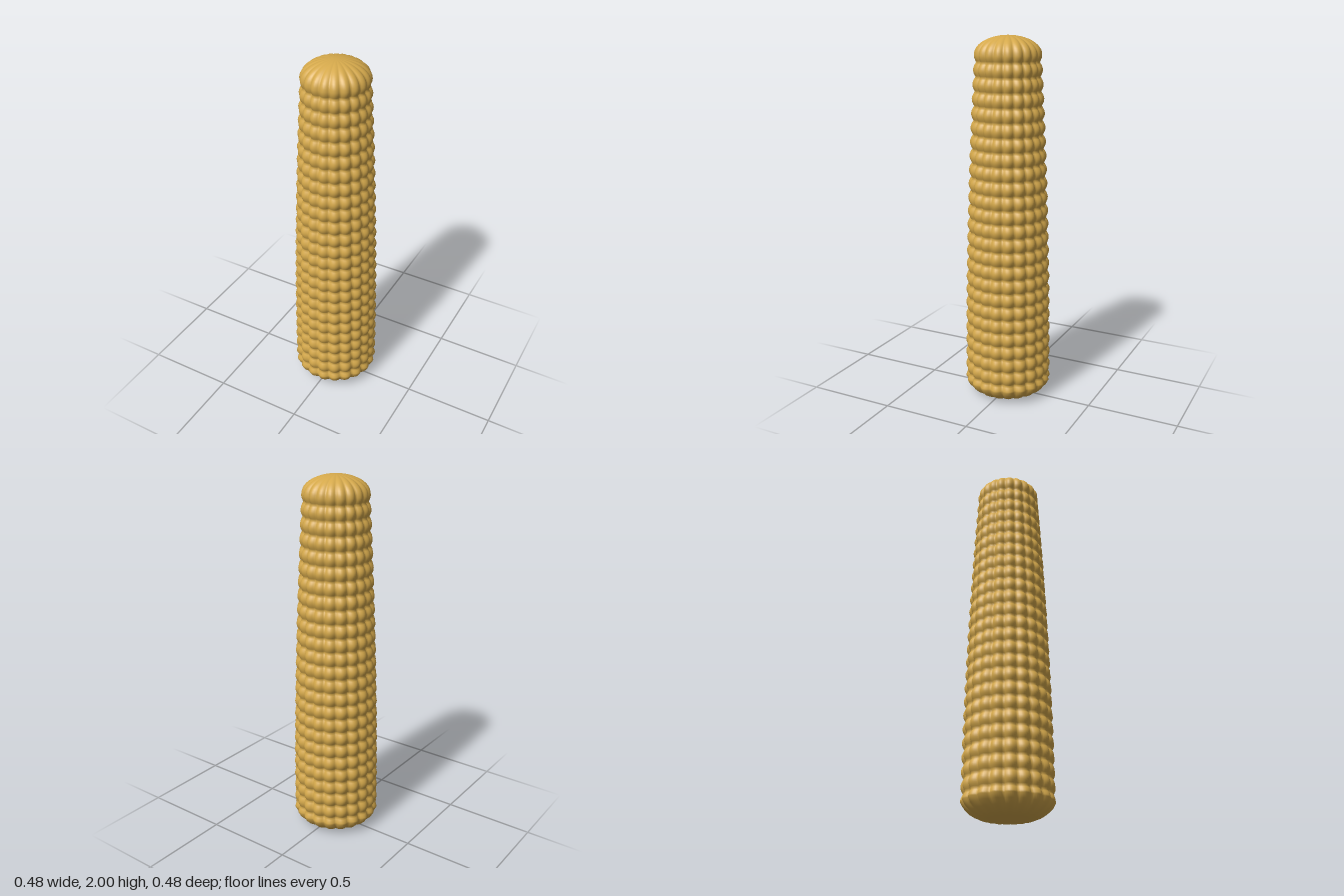
import * as THREE from 'three';
import { mergeVertices } from 'three/addons/utils/BufferGeometryUtils.js';

const COLUMNS = 20; // kernel columns around the cob
const ROWS = 24;    // kernel steps along the cob
const Y0 = 0.08, Y1 = 1.9;

// Side profile: flat foot, rounded heel, scalloped taper, domed tip
function cobProfile() {
  const pts = [[0, 0], [0.11, 0], [0.142, 0], [0.175, 0.013], [0.204, 0.031], [0.228, 0.055]]
    .map(([r, y]) => new THREE.Vector2(r, y));
  const steps = ROWS * 8;
  for (let i = 0; i <= steps; i++) {
    const t = i / steps;
    const bump = Math.abs(Math.cos(Math.PI * t * ROWS));
    const r = 0.241 - 0.063 * Math.pow(t, 1.8) - 0.014 * (1 - bump);
    pts.push(new THREE.Vector2(r, Y0 + (Y1 - Y0) * t));
  }
  for (let i = 1; i <= 12; i++) {
    const a = (i / 12) * Math.PI / 2;
    pts.push(new THREE.Vector2(i === 12 ? 0 : 0.178 * Math.cos(a), Y1 + 0.1 * Math.sin(a)));
  }
  return pts;
}

// Lathe the profile, then press grooves between the kernel columns
function cobGeometry() {
  const geo = new THREE.LatheGeometry(cobProfile(), COLUMNS * 8);
  const pos = geo.attributes.position;
  for (let i = 0; i < pos.count; i++) {
    const x = pos.getX(i), z = pos.getZ(i);
    const lobe = Math.abs(Math.sin(Math.atan2(x, z) * COLUMNS / 2));
    const k = 1 - 0.07 * (1 - lobe);
    pos.setX(i, x * k);
    pos.setZ(i, z * k);
  }
  geo.deleteAttribute('uv');
  geo.deleteAttribute('normal');
  const merged = mergeVertices(geo, 1e-5);
  merged.computeVertexNormals();
  return merged;
}

export function createModel() {
  const group = new THREE.Group();
  group.name = 'cornCob';
  const kernels = new THREE.Mesh(cobGeometry(), new THREE.MeshStandardMaterial({ color: 0xd4a84b }));
  kernels.name = 'kernels';
  group.add(kernels);
  return group;
}
